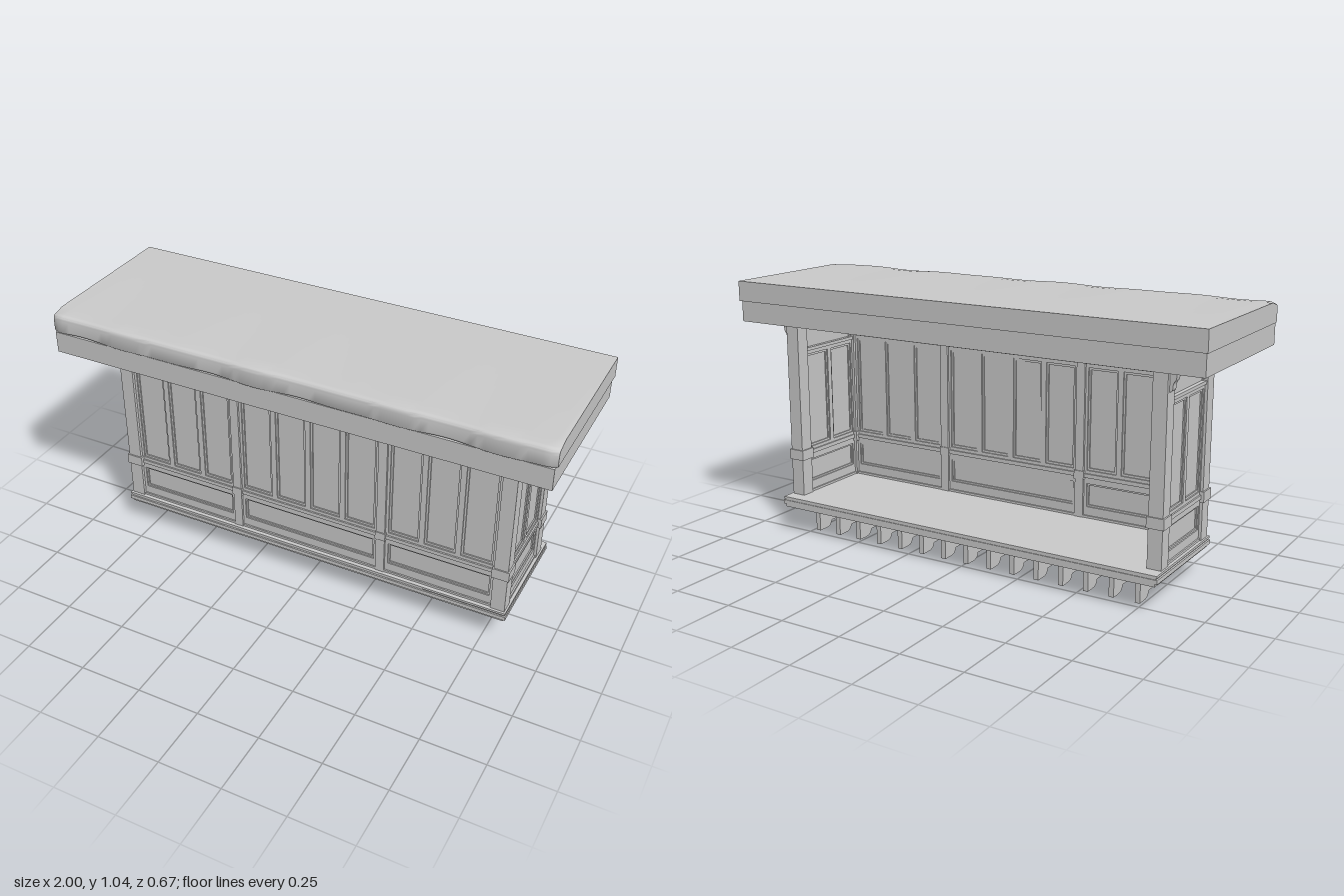
import * as THREE from 'three';
import { toCreasedNormals } from 'three/addons/utils/BufferGeometryUtils.js';

const mat = new THREE.MeshStandardMaterial({ color: 0xcccccc });

function add(parent, name, geo, x = 0, y = 0, z = 0) {
  const m = new THREE.Mesh(geo, mat);
  m.name = name;
  m.position.set(x, y, z);
  parent.add(m);
  return m;
}

// box given by its limits
function block(parent, name, x0, x1, y0, y1, z0, z1) {
  return add(parent, name, new THREE.BoxGeometry(x1 - x0, y1 - y0, z1 - z0),
    (x0 + x1) / 2, (y0 + y1) / 2, (z0 + z1) / 2);
}

// (z, y) outline extruded along x and centred on x = 0
function alongX(shape, width, steps = 1) {
  const g = new THREE.ExtrudeGeometry(shape, { depth: width, steps, bevelEnabled: false, curveSegments: 6 });
  return g.translate(0, 0, -width / 2).rotateY(-Math.PI / 2);
}

// rectangular ring lying in the xy plane, centred in depth
function ring(w, h, border, depth) {
  const rect = (P, a, b) => new P([[-a, -b], [a, -b], [a, b], [-a, b]].map(p => new THREE.Vector2(...p)));
  const s = rect(THREE.Shape, w / 2, h / 2);
  s.holes.push(rect(THREE.Path, w / 2 - border, h / 2 - border));
  return new THREE.ExtrudeGeometry(s, { depth, bevelEnabled: false }).translate(0, 0, -depth / 2);
}

// one panelled bay: core, rails, stiles and panel mouldings on both faces
function bay(parent, x0, x1, count, top) {
  const g = new THREE.Group();
  g.name = 'panelledBay';
  parent.add(g);
  const t = 0.017;
  block(g, 'core', x0, x1, 0.15, 0.955, -0.007, 0.007);
  block(g, 'baseRail', x0, x1, 0.15, 0.185, -t, t);
  block(g, 'baseMoulding', x0, x1, 0.15, 0.162, -t - 0.006, t + 0.006);
  block(g, 'middleRail', x0, x1, 0.303, 0.345, -t, t);
  block(g, 'middleMoulding', x0, x1, 0.316, 0.332, -t - 0.006, t + 0.006);
  block(g, 'upperRail', x0, x1, top - 0.015, top + 0.008, -t, t);
  block(g, 'upperMoulding', x0, x1, top, top + 0.013, -t - 0.006, t + 0.006);
  const step = (x1 - x0) / count, s = 0.011;
  for (let i = 0; i <= count; i++) {
    const a = Math.max(x0, x0 + i * step - s), b = Math.min(x1, x0 + i * step + s);
    block(g, 'stile', a, b, 0.345, top - 0.015, -t, t);
  }
  for (let i = 0; i < count; i++) {
    const h = top - 0.36;
    add(g, 'panelMoulding', ring(step - 2 * s + 0.002, h, 0.009, 0.024), x0 + (i + 0.5) * step, 0.345 + h / 2);
  }
  const mid = (x0 + x1) / 2, w = x1 - x0;
  add(g, 'lowerFrame', ring(w, 0.118, 0.012, 2 * t), mid, 0.244);
  add(g, 'lowerMoulding', ring(w - 0.022, 0.096, 0.008, 0.024), mid, 0.244);
  add(g, 'upperFrame', ring(w, 0.955 - top, 0.011, 0.024), mid, (0.955 + top) / 2);
}

// scrolled bracket, back face at z = 0, top at y = 0
function bracketGeometry() {
  const s = new THREE.Shape();
  s.moveTo(0, 0);
  s.lineTo(0, -0.085);
  s.quadraticCurveTo(0.013, -0.084, 0.013, -0.068);
  s.quadraticCurveTo(0.013, -0.052, 0.021, -0.045);
  s.quadraticCurveTo(0.026, -0.038, 0.026, -0.018);
  s.lineTo(0.035, -0.015);
  s.lineTo(0.035, 0);
  return alongX(s, 0.03);
}

// stepped joist below the floor
function joistGeometry() {
  const s = new THREE.Shape();
  s.moveTo(-0.22, 0.112);
  s.lineTo(-0.22, 0.002);
  s.lineTo(-0.18, 0.002);
  s.quadraticCurveTo(-0.15, 0.002, -0.145, 0.027);
  s.lineTo(-0.115, 0.027);
  s.quadraticCurveTo(-0.085, 0.027, -0.082, 0.055);
  s.lineTo(-0.04, 0.055);
  s.quadraticCurveTo(-0.01, 0.056, -0.006, 0.083);
  s.lineTo(0.1, 0.083);
  s.quadraticCurveTo(0.118, 0.085, 0.118, 0.1);
  s.lineTo(0.118, 0.112);
  s.closePath();
  return alongX(s, 0.02).translate(0, -0.002, 0);
}

// roof slab with a worn, rolling front edge
function slabGeometry() {
  const s = new THREE.Shape();
  s.moveTo(-0.333, 0.957);
  s.lineTo(0.326, 0.957);
  s.quadraticCurveTo(0.333, 0.957, 0.333, 0.965);
  s.lineTo(0.333, 1.015);
  s.quadraticCurveTo(0.333, 1.037, 0.312, 1.037);
  s.lineTo(0.26, 1.037);
  s.lineTo(-0.333, 1.037);
  s.closePath();
  const g = alongX(s, 2, 80);
  const p = g.attributes.position;
  for (let i = 0; i < p.count; i++) {
    const x = p.getX(i), y = p.getY(i), z = p.getZ(i);
    if (z < 0.3) continue;
    const wave = 0.5 + 0.3 * Math.sin(x * 13) + 0.2 * Math.sin(x * 21 + 1);
    const end = Math.max(0, (Math.abs(x) - 0.96) / 0.04);
    p.setZ(i, z - 0.007 * wave - 0.014 * end * end);
    if (y > 1) p.setY(i, y - 0.004 * wave - 0.008 * end * end);
    else p.setY(i, y + 0.007 * wave);
  }
  return toCreasedNormals(g, 0.6);
}

export function createModel() {
  const model = new THREE.Group();
  model.name = 'balcony';
  const frontZ = 0.135, backZ = -0.222, sideX = 0.803;

  // roof: slab over a hollow fascia
  add(model, 'roofSlab', slabGeometry());
  add(model, 'fascia', ring(1.986, 0.65, 0.025, 0.085).rotateX(Math.PI / 2), 0, 0.9165, 0);
  block(model, 'ceiling', -0.98, 0.98, 0.952, 0.962, -0.315, 0.315);

  // floor with a stepped edge
  block(model, 'floorBase', -0.83, 0.83, 0.11, 0.125, -0.3, 0.168);
  block(model, 'floorMiddle', -0.84, 0.84, 0.122, 0.138, -0.303, 0.176);
  block(model, 'floorBoard', -0.833, 0.833, 0.136, 0.146, -0.3, 0.17);
  block(model, 'floorLip', -0.838, 0.838, 0.144, 0.153, -0.303, 0.174);

  // joists
  const joist = joistGeometry();
  for (let i = -7; i <= 7; i++) add(model, 'joist', joist, i * 0.1043, 0, 0);

  // front wall: three bays between posts
  const front = new THREE.Group();
  front.name = 'frontWall';
  front.position.z = frontZ;
  model.add(front);
  bay(front, -0.775, -0.333, 3, 0.768);
  bay(front, -0.297, 0.297, 4, 0.768);
  bay(front, 0.333, 0.775, 3, 0.768);

  const bracket = bracketGeometry();
  for (const side of [-1, 1]) {
    // side wall
    const wall = new THREE.Group();
    wall.name = side > 0 ? 'leftWall' : 'rightWall';
    wall.position.set(side * sideX, 0, -0.0435);
    wall.rotation.y = side * Math.PI / 2;
    model.add(wall);
    bay(wall, -0.1515, 0.1515, 2, 0.75);

    // corner posts with collars and side brackets
    for (const z of [frontZ, backZ]) {
      block(model, 'cornerPost', side * sideX - 0.028, side * sideX + 0.028, 0.15, 0.955, z - 0.029, z + 0.029);
      block(model, 'postCollar', side * sideX - 0.034, side * sideX + 0.034, 0.303, 0.345, z - 0.034, z + 0.034);
      const b = add(model, 'sideBracket', bracket, side * (sideX + 0.027), 0.875, z);
      b.rotation.y = side * Math.PI / 2;
      block(model, 'bracketTop', side * (sideX + 0.03) - 0.033, side * (sideX + 0.03) + 0.033, 0.873, 0.955, z - 0.015, z + 0.015);
    }

    // intermediate front post
    const x = side * 0.315;
    block(model, 'middlePost', x - 0.018, x + 0.018, 0.15, 0.955, frontZ - 0.026, frontZ + 0.026);
    block(model, 'middleCollar', x - 0.021, x + 0.021, 0.308, 0.342, frontZ - 0.03, frontZ + 0.03);

    // front brackets
    add(model, 'frontBracket', bracket, side * sideX, 0.875, frontZ + 0.027);
    add(model, 'frontBracket', bracket, x, 0.875, frontZ + 0.025);
  }
  return model;
}
